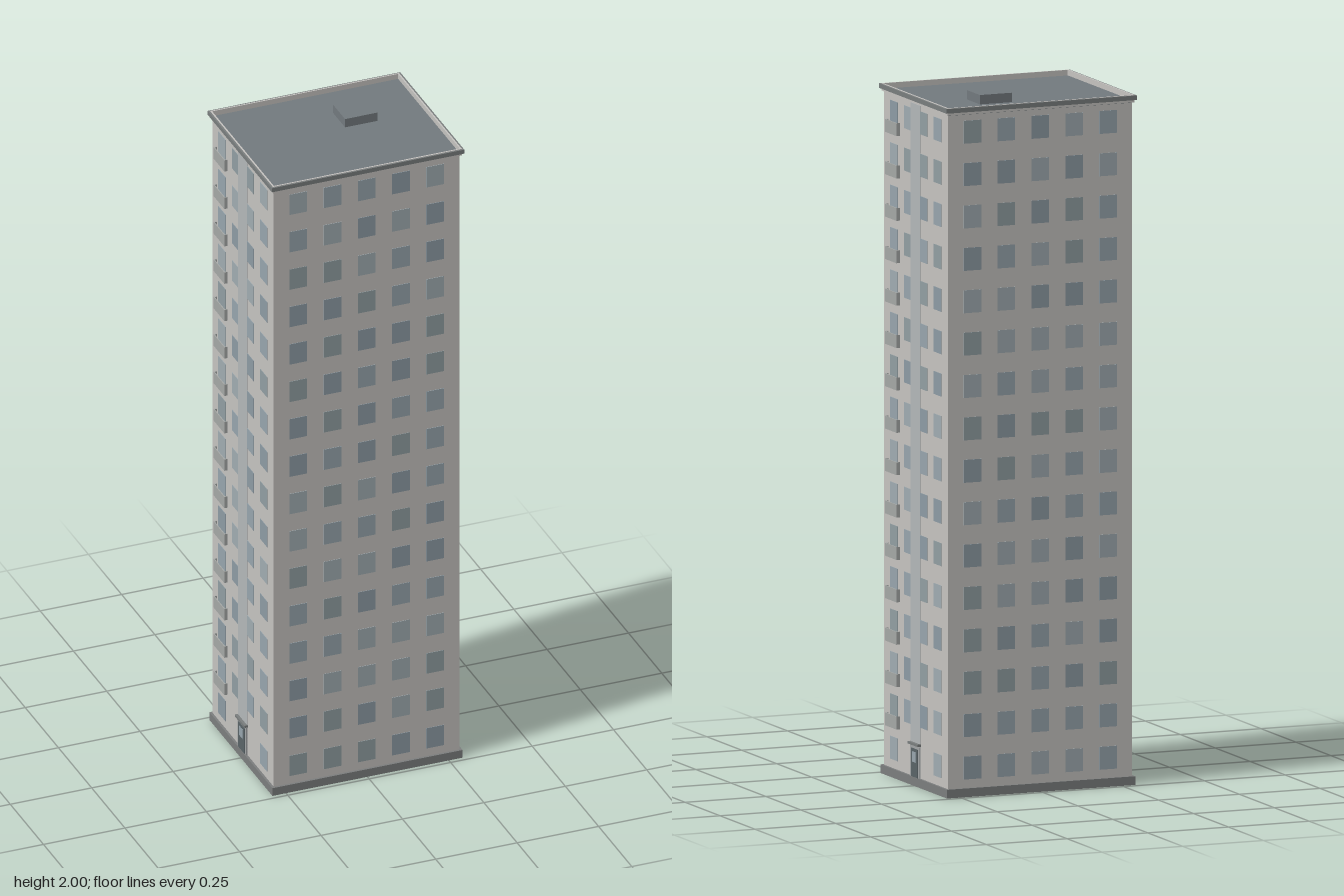
import * as THREE from 'three';

const FLOORS = 16, STEP = 0.1222, FIRST = 0.083;
const HX = 0.285, HZ = 0.23; // half width and half depth of the walls

const paint = (color) => new THREE.MeshStandardMaterial({ color });
const MAT = {
  wall: paint(0xc6c4c1), plinth: paint(0x7c7e7e), roof: paint(0x737a7e),
  trim: paint(0x7a7e7e), strip: paint(0xb4b8ba), balcony: paint(0xa6a9a7),
  door: paint(0x5a6468), frame: paint(0xa2a6a7),
};
const GLASS = [0x98a6ae, 0x8e9ca5, 0xa1adb2, 0x929fa3].map(paint);

// Box given by its limits on each axis
function box(parent, name, mat, x0, x1, y0, y1, z0, z1) {
  const m = new THREE.Mesh(new THREE.BoxGeometry(x1 - x0, y1 - y0, z1 - z0), mat);
  m.position.set((x0 + x1) / 2, (y0 + y1) / 2, (z0 + z1) / 2);
  m.name = name;
  parent.add(m);
  return m;
}

// Rectangular ring lying flat, from y0 to y1
function ring(parent, name, mat, ox, oz, ix, iz, y0, y1) {
  const rect = (C, a, b) => {
    const p = new C();
    p.moveTo(-a, -b).lineTo(a, -b).lineTo(a, b).lineTo(-a, b).closePath();
    return p;
  };
  const shape = rect(THREE.Shape, ox, oz);
  shape.holes.push(rect(THREE.Path, ix, iz));
  const geo = new THREE.ExtrudeGeometry(shape, { depth: y1 - y0, bevelEnabled: false });
  geo.rotateX(-Math.PI / 2).translate(0, y0, 0);
  const m = new THREE.Mesh(geo, mat);
  m.name = name;
  parent.add(m);
}

// Shallow open balcony on the +x wall
function balcony(parent, y, z) {
  const g = new THREE.Group();
  g.name = 'balcony';
  const out = HX + 0.0105, w = 0.041, t = 0.003;
  box(g, 'balconyFloor', MAT.balcony, HX, out, y, y + t, z - w, z + w);
  box(g, 'balconyFront', MAT.balcony, out - t, out, y, y + 0.037, z - w, z + w);
  for (const s of [-1, 1]) {
    const c = z + s * (w - t / 2);
    box(g, 'balconySide', MAT.balcony, HX, out - t, y, y + 0.037, c - t / 2, c + t / 2);
  }
  parent.add(g);
}

// One long wall (+z) and one entrance wall (+x)
function facades(seed) {
  const g = new THREE.Group();
  g.name = 'facades';
  let s = seed;
  const glass = () => {
    s = (s * 16807) % 2147483647;
    return GLASS[s % GLASS.length];
  };
  const w = 0.027, h = 0.033, d = 0.0015;
  for (let f = 0; f < FLOORS; f++) {
    const y = FIRST + f * STEP;
    for (let i = -2; i <= 2; i++) {
      const x = i * 0.105;
      box(g, 'window', glass(), x - w, x + w, y - h, y + h, HZ - d, HZ + d);
    }
    for (const z of [0.157, 0.055, -0.055, -0.157]) {
      if (f === 0 && Math.abs(z) < 0.1) continue;
      box(g, 'window', glass(), HX - d, HX + d, y - h, y + h, z - w, z + w);
    }
    if (f > 0) balcony(g, y - 0.061, 0.157);
  }
  // Stairwell strip above the entrance
  box(g, 'stairwellStrip', MAT.strip, HX - d, HX + 0.002, 0.02, 1.965, -0.033, 0.033);
  // Entrance
  box(g, 'doorFrame', MAT.frame, HX, HX + 0.004, 0.01, 0.115, -0.033, 0.033);
  box(g, 'door', MAT.door, HX, HX + 0.006, 0.01, 0.107, -0.023, 0.023);
  box(g, 'doorPane', GLASS[0], HX, HX + 0.007, 0.068, 0.098, -0.014, 0.014);
  box(g, 'canopy', MAT.trim, HX, HX + 0.0105, 0.117, 0.124, -0.036, 0.036);
  return g;
}

export function createModel() {
  const model = new THREE.Group();
  model.name = 'towerBlock';

  box(model, 'walls', MAT.wall, -HX, HX, 0.018, 1.97, -HZ, HZ);
  ring(model, 'plinth', MAT.plinth, 0.292, 0.237, 0.28, 0.225, 0, 0.025);

  // The opposite sides repeat under a half turn
  const front = facades(1237);
  const back = facades(7919);
  back.rotation.y = Math.PI;
  model.add(front, back);

  // Roof with its parapet and hatch
  box(model, 'roof', MAT.roof, -0.286, 0.286, 1.967, 1.973, -0.234, 0.234);
  ring(model, 'parapet', MAT.wall, 0.29, 0.2365, 0.2855, 0.232, 1.968, 1.989);
  ring(model, 'cornice', MAT.trim, 0.2955, 0.2415, 0.29, 0.2365, 1.975, 1.988);
  box(model, 'roofHatch', MAT.roof, 0.04, 0.14, 1.97, 2.0, -0.122, -0.03);
  return model;
}
